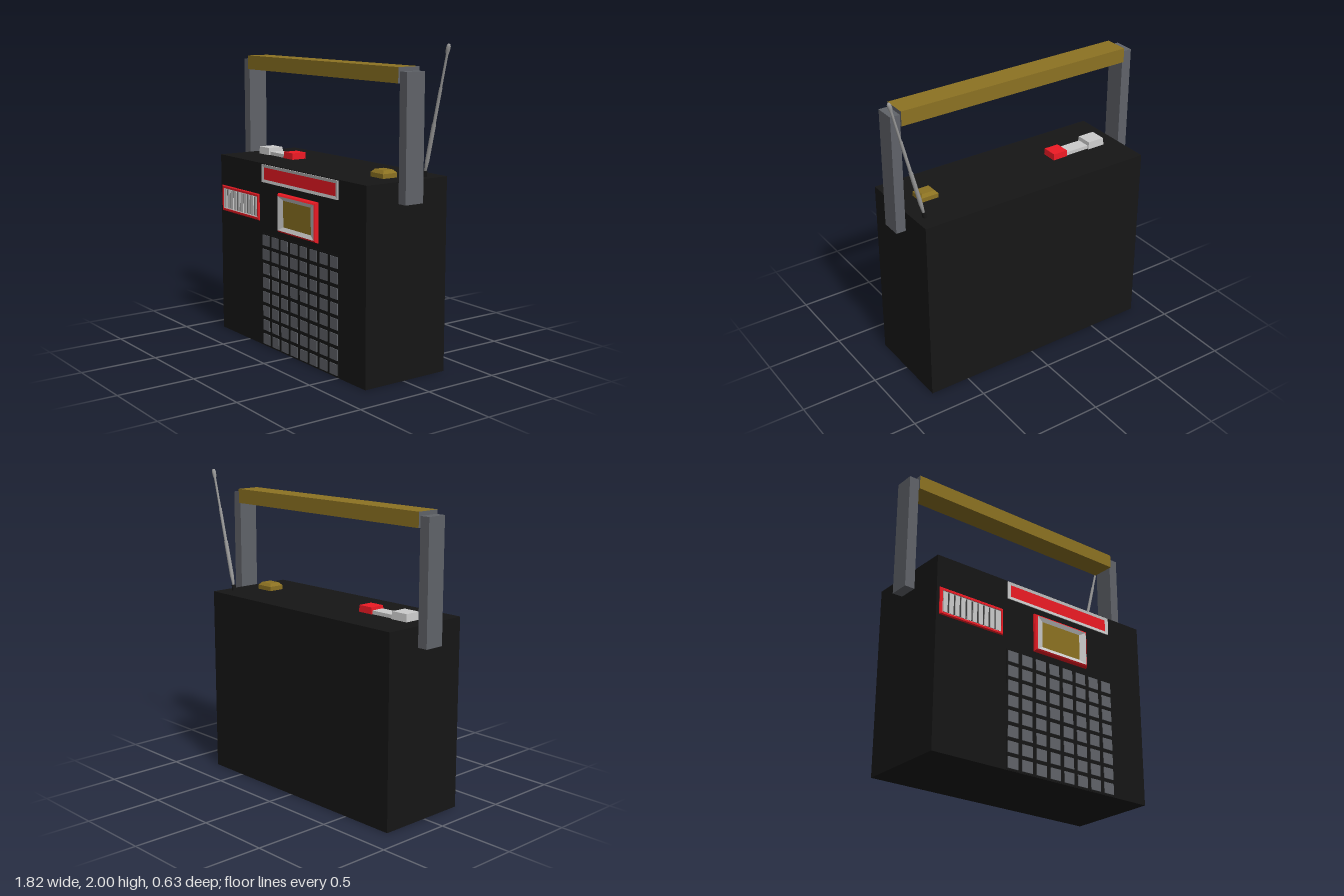
import * as THREE from 'three';

const mat = (color) => new THREE.MeshStandardMaterial({ color, flatShading: true });
const black = mat(0x161616), grey = mat(0xcccccc), steel = mat(0x606369), red = mat(0xee1a24);
const gold = mat(0x8c7222), dark = mat(0x3c3c3c), chrome = new THREE.MeshStandardMaterial({ color: 0x999999 });
const FRONT = 0.287, TOP = 1.21;

export function createModel() {
  const root = new THREE.Group();

  const add = (name, geometry, material, parent = root) => {
    const mesh = new THREE.Mesh(geometry, material);
    mesh.name = name;
    parent.add(mesh);
    return mesh;
  };

  // Box given by its extents; inset tapers the top face
  const block = (name, [x0, x1], [y0, y1], [z0, z1], material, parent = root, inset = 0) => {
    const w = x1 - x0, h = y1 - y0, d = z1 - z0;
    const g = new THREE.BoxGeometry(w, h, d);
    const p = g.attributes.position;
    if (inset) for (let i = 0; i < p.count; i++) {
      if (p.getY(i) < 0) continue;
      p.setX(i, p.getX(i) * (1 - 2 * inset / w));
      p.setZ(i, p.getZ(i) * (1 - 2 * inset / d));
    }
    g.computeVertexNormals();
    g.translate((x0 + x1) / 2, (y0 + y1) / 2, (z0 + z1) / 2);
    return add(name, g, material, parent);
  };

  // Rectangular frame lofted through loops of [half width, half height, z]
  const frame = (name, cx, cy, loops, material, parent) => {
    const pos = [], idx = [];
    for (const [w, h, z] of loops)
      for (const [sx, sy] of [[-1, -1], [1, -1], [1, 1], [-1, 1]]) pos.push(cx + sx * w, cy + sy * h, z);
    for (let l = 0; l < loops.length - 1; l++) for (let k = 0; k < 4; k++) {
      const a = l * 4 + k, b = l * 4 + (k + 1) % 4;
      idx.push(a, b, b + 4, a, b + 4, a + 4);
    }
    let g = new THREE.BufferGeometry();
    g.setAttribute('position', new THREE.Float32BufferAttribute(pos, 3));
    g.setIndex(idx);
    g = g.toNonIndexed();
    g.computeVertexNormals();
    return add(name, g, material, parent);
  };

  const group = (name) => {
    const g = new THREE.Group();
    g.name = name;
    root.add(g);
    return g;
  };

  block('body', [-0.85, 0.765], [0, TOP], [-0.318, FRONT], black);

  // Carrying handle: two side posts and a grip with grey ends
  const handle = group('handle');
  block('rightPost', [-0.917, -0.85], [1.08, 1.845], [-0.08, 0.052], steel, handle);
  block('leftPost', [0.765, 0.829], [1.08, 1.845], [-0.08, 0.052], steel, handle);
  block('grip', [-0.85, 0.765], [1.777, 1.87], [-0.093, 0.064],
    [steel, steel, gold, gold, gold, gold], handle);

  // Slide switch and knob on the top
  const slider = group('slideSwitch');
  block('sliderBlock', [-0.742, -0.618], [TOP, 1.258], [-0.065, 0.05], grey, slider, 0.004);
  block('sliderTrack', [-0.618, -0.448], [TOP, 1.233], [-0.052, 0.037], grey, slider);
  block('sliderButton', [-0.448, -0.342], [TOP, 1.252], [-0.06, 0.045], red, slider, 0.002);
  const knob = group('knob');
  block('knobBase', [0.51, 0.63], [TOP, 1.238], [-0.045, 0.06], gold, knob);
  block('knobTop', [0.51, 0.63], [1.238, 1.257], [-0.045, 0.06], gold, knob, 0.017);

  // Tuning strip along the top of the front
  const strip = group('tuningStrip');
  frame('stripFrame', 0.083, 1.147, [[0.414, 0.058, FRONT], [0.414, 0.058, 0.293], [0.388, 0.038, 0.29]], grey, strip);
  block('stripScale', [-0.306, 0.472], [1.108, 1.186], [0.28, 0.2902], red, strip);

  // Slatted vent
  const vent = group('vent');
  frame('ventFrame', -0.598, 0.917, [[0.232, 0.087, FRONT], [0.232, 0.087, 0.291], [0.226, 0.081, 0.296],
    [0.214, 0.069, 0.296], [0.214, 0.069, FRONT]], red, vent);
  frame('ventBorder', -0.598, 0.917, [[0.214, 0.069, 0.293], [0.205, 0.062, 0.288]], grey, vent);
  block('ventBack', [-0.812, -0.384], [0.848, 0.986], [0.28, 0.2885], dark, vent);
  for (let i = 0; i < 10; i++) {
    const x = -0.598 + (i - 4.5) * 0.0425;
    block('slat', [x - 0.0145, x + 0.0145], [0.852, 0.982], [0.285, 0.294], grey, vent);
  }

  // Raised display with a sloping inner border
  const display = group('display');
  frame('displayBezel', 0.083, 0.92, [[0.212, 0.125, FRONT], [0.212, 0.125, 0.297], [0.206, 0.119, 0.308],
    [0.197, 0.11, 0.314]], red, display);
  frame('displayBorder', 0.083, 0.92, [[0.197, 0.11, 0.314], [0.151, 0.085, 0.302]], grey, display);
  block('displayPanel', [-0.068, 0.234], [0.835, 1.005], [0.285, 0.302], gold, display);

  // Speaker grille of 8 x 8 raised squares
  const grille = group('speakerGrille');
  block('grillePanel', [-0.335, 0.505], [0.004, 0.755], [0.28, 0.2895], black, grille);
  for (let r = 0; r < 8; r++) for (let c = 0; c < 8; c++) {
    const x = -0.288 + c * 0.1066, y = 0.048 + r * 0.0946;
    block('grilleSquare', [x - 0.038, x + 0.038], [y - 0.035, y + 0.035], [0.285, 0.294], steel, grille);
  }

  // Leaning telescopic antenna
  const antenna = group('antenna');
  antenna.position.set(0.695, TOP - 0.01, -0.198);
  antenna.rotation.z = -Math.atan2(0.197, 0.78);
  add('antennaSocket', new THREE.CylinderGeometry(0.013, 0.016, 0.055, 12).translate(0, 0.02, 0), black, antenna);
  const profile = [[0, 0.045], [0.008, 0.045], [0.013, 0.11], [0.013, 0.34], [0.01, 0.345], [0.01, 0.56],
    [0.0075, 0.565], [0.0075, 0.76], [0.013, 0.785], [0.013, 0.81], [0.008, 0.822], [0, 0.825]];
  add('antennaRod', new THREE.LatheGeometry(profile.map(([x, y]) => new THREE.Vector2(x, y)), 12), chrome, antenna);

  return root;
}
